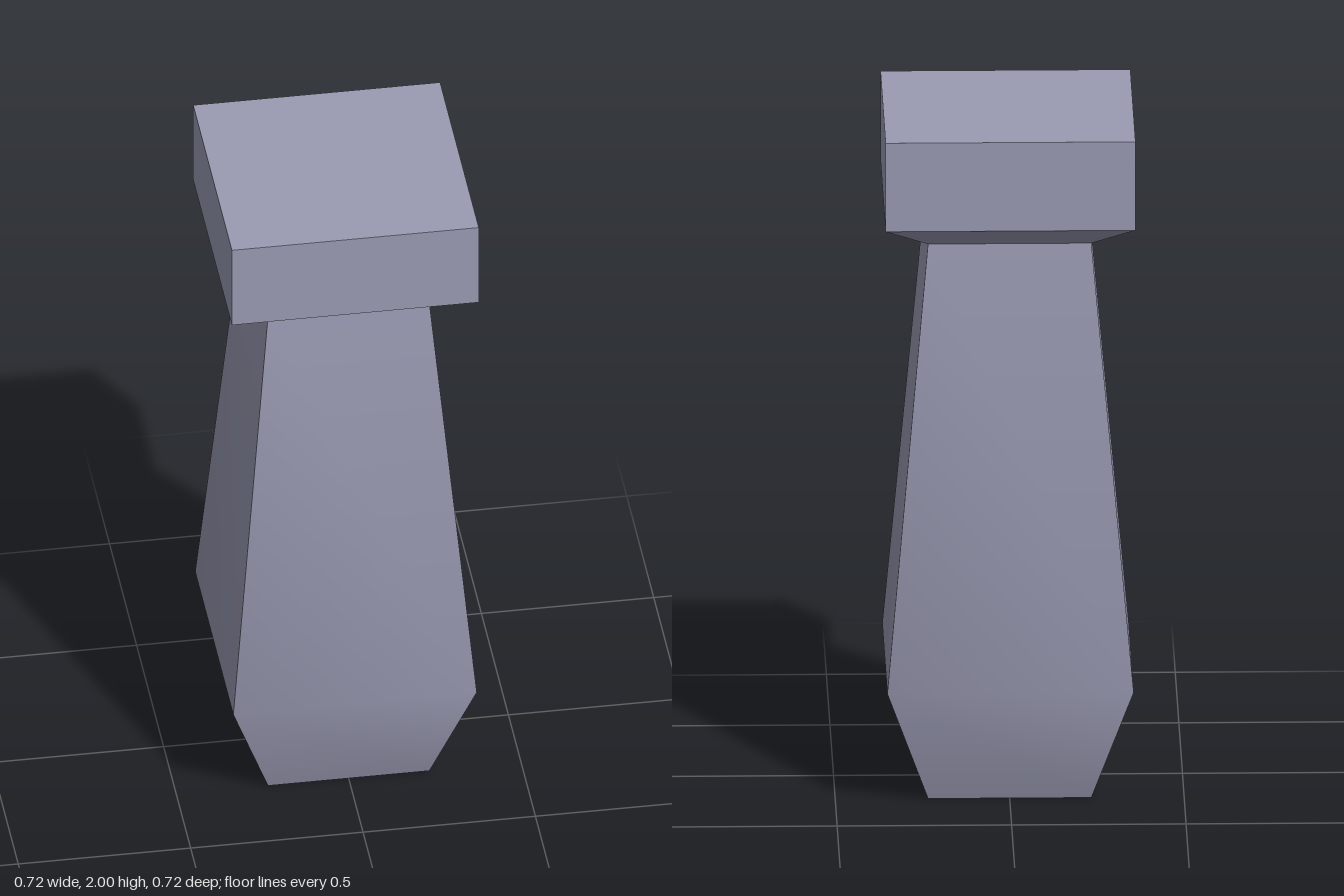
import * as THREE from 'three';
import { toCreasedNormals } from 'three/addons/utils/BufferGeometryUtils.js';

const slate = new THREE.MeshStandardMaterial({ color: 0x9a9bb3, side: THREE.DoubleSide });
slate.name = 'slate';

// Sweeps a profile of [half width, height] points around a square footprint
function squareLathe(name, profile) {
  const points = profile.map(([half, y]) => new THREE.Vector2(half * Math.SQRT2, y));
  const geometry = new THREE.LatheGeometry(points, 4, Math.PI / 4);
  const mesh = new THREE.Mesh(toCreasedNormals(geometry, 0.78), slate);
  mesh.name = name;
  return mesh;
}

export function createModel() {
  const model = new THREE.Group();
  model.name = 'post';

  // Tapered hollow shaft, open at the foot, with a soft bend above it
  model.add(squareLathe('shaft', [[0.234, 0], [0.353, 0.35], [0.234, 1.66]]));

  // Square cap with a sloping underside and a flat top
  model.add(squareLathe('cap', [[0.234, 1.66], [0.358, 1.735], [0.358, 2], [0, 2]]));

  return model;
}
